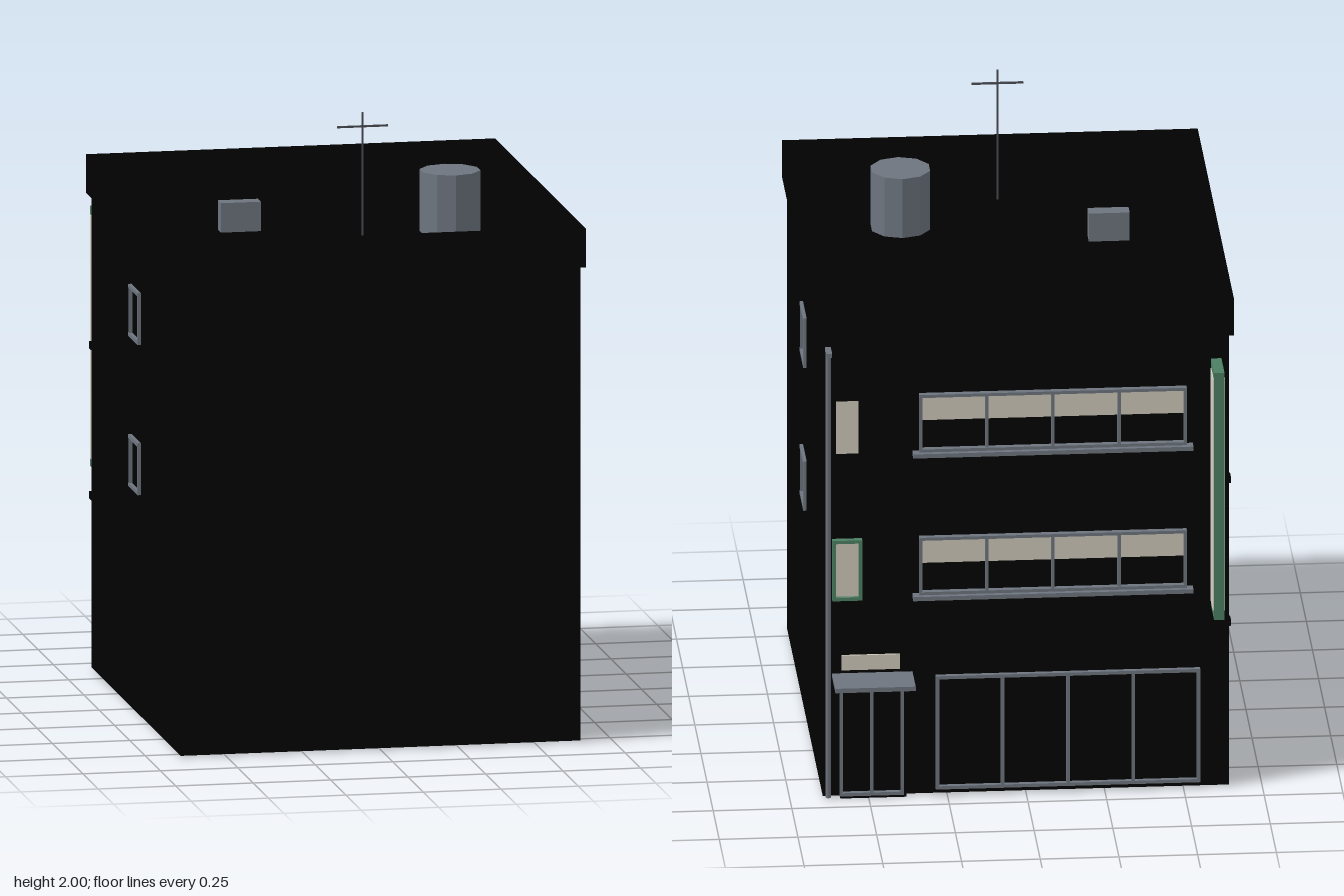
import * as THREE from 'three';

const mat = (name, color) => {
  const m = new THREE.MeshStandardMaterial({ color });
  m.name = name;
  return m;
};

export function createModel() {
  const black = mat('blackWall', 0x010101);
  const steel = mat('steelGrey', 0x6e757f);
  const dark = mat('darkMetal', 0x4a4e55);
  const green = mat('signGreen', 0x4c7f62);
  const cream = mat('signCream', 0xd6d0c6);
  const blind = mat('blindCream', 0xcdc8b8);

  const model = new THREE.Group();
  model.name = 'building';

  // box from its min and max corners
  const box = (name, m, x0, x1, y0, y1, z0, z1, parent = model) => {
    const mesh = new THREE.Mesh(new THREE.BoxGeometry(x1 - x0, y1 - y0, z1 - z0), m);
    mesh.position.set((x0 + x1) / 2, (y0 + y1) / 2, (z0 + z1) / 2);
    mesh.name = name;
    parent.add(mesh);
    return mesh;
  };

  // rectangular frame in local xy with vertical dividers, depth from z = 0 to d
  const frame = (name, m, w, h, bar, d, panes = 1) => {
    const g = new THREE.Group();
    g.name = name;
    box('topRail', m, -w / 2, w / 2, h / 2 - bar, h / 2, 0, d, g);
    box('bottomRail', m, -w / 2, w / 2, -h / 2, -h / 2 + bar, 0, d, g);
    for (let i = 0; i <= panes; i++) {
      const x = -w / 2 + bar / 2 + ((w - bar) * i) / panes;
      box('upright', m, x - bar / 2, x + bar / 2, -h / 2 + bar, h / 2 - bar, 0, d * 0.95, g);
    }
    model.add(g);
    return g;
  };

  const F = -0.66; // street facade plane
  const onFacade = (g, x, y) => {
    g.position.set(x, y, F);
    g.rotation.y = Math.PI;
  };

  // main block and floor bands
  box('walls', black, -0.645, 0.645, 0.005, 1.56, F, 0.8);
  for (const y of [0.56, 1.045]) box('floorBand', black, -0.65, 0.65, y - 0.012, y + 0.012, -0.67, -0.64);

  // hollow parapet around the flat roof
  const rim = new THREE.Shape();
  rim.moveTo(-0.66, -0.815).lineTo(0.66, -0.815).lineTo(0.66, 0.672).lineTo(-0.66, 0.672).closePath();
  const hole = new THREE.Path();
  hole.moveTo(-0.63, -0.785).lineTo(-0.63, 0.642).lineTo(0.63, 0.642).lineTo(0.63, -0.785).closePath();
  rim.holes.push(hole);
  const parapet = new THREE.Mesh(new THREE.ExtrudeGeometry(rim, { depth: 0.125, bevelEnabled: false }), black);
  parapet.name = 'parapet';
  parapet.rotation.x = -Math.PI / 2;
  parapet.position.y = 1.535;
  model.add(parapet);

  // rooftop water tank, vent unit and aerial
  const tankGeo = new THREE.CylinderGeometry(0.097, 0.097, 0.2, 10).toNonIndexed();
  tankGeo.computeVertexNormals();
  const tank = new THREE.Mesh(tankGeo, steel);
  tank.name = 'waterTank';
  tank.position.set(0.325, 1.66, 0.288);
  model.add(tank);
  box('ventUnit', steel, -0.39, -0.26, 1.56, 1.655, 0.115, 0.165);
  box('aerialMast', dark, -0.003, 0.003, 1.56, 2, 0.502, 0.508);
  box('aerialBar', dark, -0.082, 0.082, 1.952, 1.958, 0.502, 0.508);

  // side windows
  for (const s of [-1, 1]) for (const y of [0.803, 1.288]) {
    const w = frame('sideWindow', steel, 0.152, 0.168, 0.012, 0.012);
    w.position.set(s * 0.644, y, 0.072);
    w.rotation.y = (s * Math.PI) / 2;
  }

  // upper street windows with half-drawn blinds and sills
  for (const y of [0.685, 1.17]) {
    onFacade(frame('ribbonWindow', steel, 0.85, 0.195, 0.01, 0.02, 4), -0.085, y + 0.0975);
    box('blind', blind, -0.5, 0.33, y + 0.105, y + 0.185, F - 0.007, F + 0.001);
    box('windowSill', steel, -0.53, 0.36, y - 0.014, y, -0.695, F);
  }

  // small stair windows
  for (const [y, m] of [[0.775, green], [1.26, black]]) {
    onFacade(frame('stairWindow', m, 0.095, 0.205, 0.011, 0.02), 0.568, y);
    box('stairBlind', blind, 0.532, 0.604, y - 0.092, y + 0.092, F - 0.008, F + 0.001);
  }

  // shopfront, entrance, canopy and fanlight
  onFacade(frame('shopfront', steel, 0.84, 0.385, 0.011, 0.016, 4), -0.133, 0.214);
  onFacade(frame('entranceDoor', steel, 0.205, 0.37, 0.011, 0.016, 2), 0.49, 0.192);
  box('doorStep', black, 0.38, 0.59, 0, 0.012, -0.675, F + 0.01);
  box('canopy', steel, 0.36, 0.615, 0.405, 0.42, -0.795, F);
  box('fanlight', blind, 0.4, 0.585, 0.432, 0.482, F - 0.007, F + 0.001);

  // downpipe and gutter hopper
  const pipe = new THREE.Mesh(new THREE.CylinderGeometry(0.009, 0.009, 1.52, 8), steel);
  pipe.name = 'downpipe';
  pipe.position.set(0.629, 0.765, -0.674);
  model.add(pipe);
  box('hopper', steel, 0.62, 0.638, 1.518, 1.532, -0.725, -0.665);

  // projecting vertical sign
  box('signCase', green, -0.619, -0.586, 0.625, 1.465, -0.815, -0.687);
  for (const x of [-0.62, -0.585]) box('signPanel', cream, x - 0.002, x + 0.002, 0.652, 1.438, -0.8, -0.7);
  for (const y of [0.75, 1.34]) box('signBracket', dark, -0.61, -0.595, y - 0.01, y + 0.01, -0.69, F);

  return model;
}
